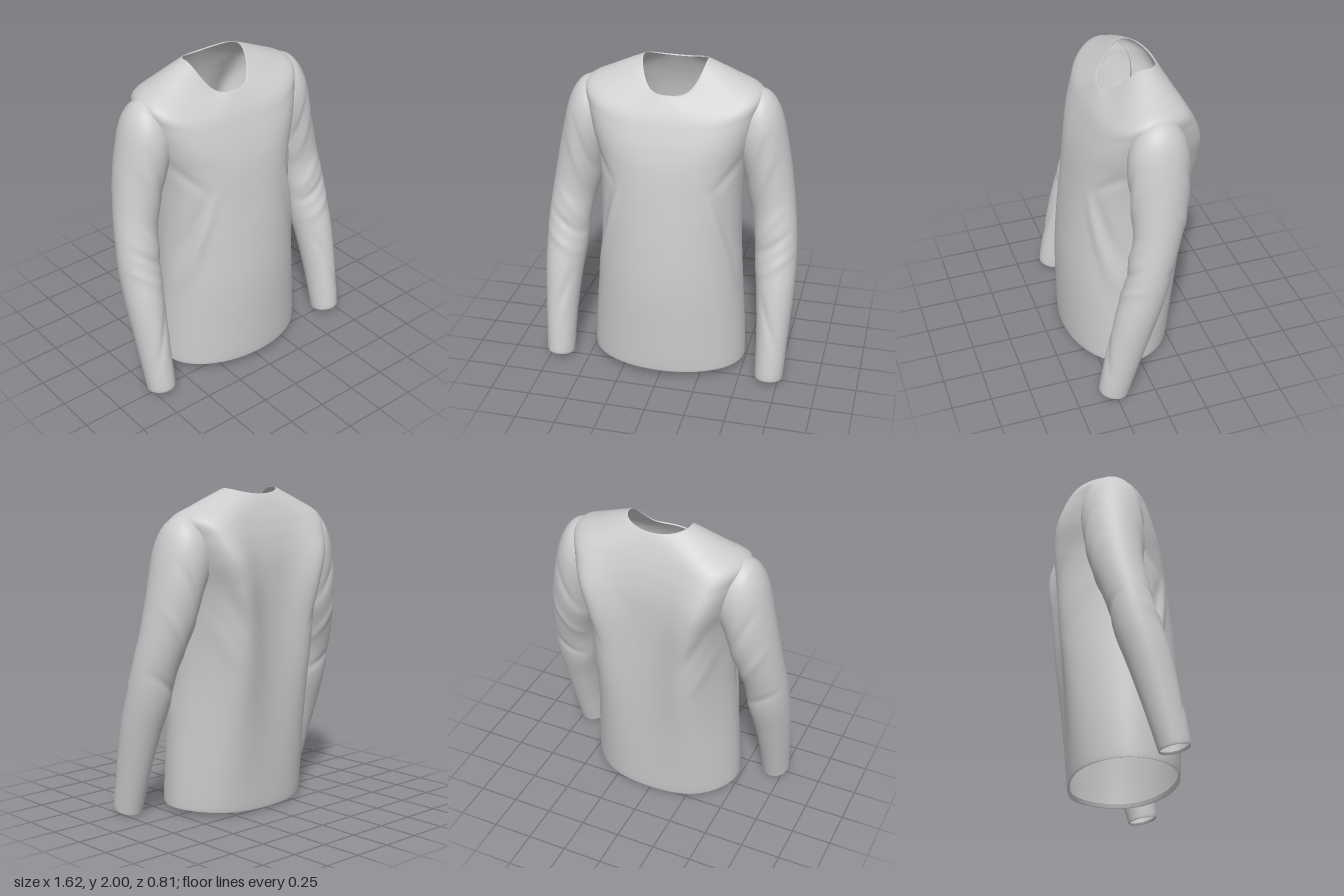
import * as THREE from 'three';

const material = new THREE.MeshStandardMaterial({ color: 0xcccccc, side: THREE.DoubleSide });

// Catmull-Rom blend of a table of section parameters, t in 0..1
function sample(rows, t) {
  const f = t * (rows.length - 1);
  const i = Math.min(Math.floor(f), rows.length - 2);
  const u = f - i;
  const at = k => rows[Math.max(0, Math.min(rows.length - 1, k))];
  const [a, b, c, d] = [at(i - 1), at(i), at(i + 1), at(i + 2)];
  return b.map((_, k) => b[k] + 0.5 * u * (c[k] - a[k]
    + u * (2 * a[k] - 5 * b[k] + 4 * c[k] - d[k] + u * (3 * (b[k] - c[k]) + d[k] - a[k]))));
}

// Cloth fold: a soft ridge (or groove) along a line in |x|, y, on one side of the garment
function foldHeight(x, y, nz, [ax, ay, bx, by, side, width, height]) {
  const dx = bx - ax, dy = by - ay, len2 = dx * dx + dy * dy;
  const t = ((x - ax) * dx + (y - ay) * dy) / len2;
  if (t <= 0 || t >= 1) return 0;
  const dist = ((x - ax) * dy - (y - ay) * dx) / Math.sqrt(len2);
  const facing = Math.max(0, nz * side);
  return height * Math.sin(Math.PI * t) * Math.exp(-((dist / width) ** 2)) * Math.min(1, facing * 2);
}

// Closed rings joined into a tube, then pushed along the normals by the folds
function loft(name, rows, point, nu, nv, flip, folds) {
  const pos = [], index = [];
  for (let j = 0; j <= nv; j++) {
    const row = sample(rows, j / nv);
    for (let i = 0; i < nu; i++) pos.push(...point(row, i / nu * Math.PI * 2));
  }
  for (let j = 0; j < nv; j++) {
    for (let i = 0; i < nu; i++) {
      const a = j * nu + i, b = j * nu + (i + 1) % nu, c = a + nu, d = b + nu;
      if (flip) index.push(a, b, c, b, d, c);
      else index.push(a, c, b, b, c, d);
    }
  }
  const geo = new THREE.BufferGeometry();
  geo.setAttribute('position', new THREE.Float32BufferAttribute(pos, 3));
  geo.setIndex(index);
  geo.computeVertexNormals();
  const p = geo.attributes.position, n = geo.attributes.normal;
  for (let i = 0; i < p.count; i++) {
    let h = 0;
    for (const f of folds) h += foldHeight(Math.abs(p.getX(i)), p.getY(i), n.getZ(i), f);
    p.setXYZ(i, p.getX(i) + n.getX(i) * h, p.getY(i) + n.getY(i) * h, p.getZ(i) + n.getZ(i) * h);
  }
  geo.computeVertexNormals();
  const mesh = new THREE.Mesh(geo, material);
  mesh.name = name;
  return mesh;
}

// Torso sections: half width, side y, side z, front y, front z, back y, back z,
// back groove, squareness (1 = round), scoop of the front edge
const torsoRows = [
  [0.485, 0.06, 0.05, 0.075, 0.375, 0.04, -0.265, 0.3, 1, 2],
  [0.497, 0.045, 0.05, 0.055, 0.39, 0.02, -0.28, 0.3, 1, 2],
  [0.49, 0.25, 0.04, 0.25, 0.397, 0.24, -0.295, 0.5, 1, 2],
  [0.465, 0.6, 0.03, 0.6, 0.398, 0.6, -0.315, 0.9, 0.97, 2],
  [0.445, 0.9, 0.01, 0.9, 0.375, 0.9, -0.33, 1.3, 0.92, 2],
  [0.443, 1.2, -0.01, 1.2, 0.337, 1.2, -0.34, 1.6, 0.85, 2],
  [0.46, 1.4, -0.03, 1.4, 0.305, 1.42, -0.345, 1.9, 0.75, 2],
  [0.5, 1.58, -0.05, 1.53, 0.27, 1.58, -0.342, 1.9, 0.66, 2],
  [0.535, 1.73, -0.06, 1.64, 0.23, 1.7, -0.325, 1.5, 0.66, 2],
  [0.54, 1.838, -0.075, 1.71, 0.2, 1.8, -0.298, 1, 0.7, 2.2],
  [0.39, 1.917, -0.09, 1.77, 0.165, 1.89, -0.262, 0.5, 0.8, 2.8],
  [0.215, 1.993, -0.1, 1.825, 0.125, 1.96, -0.225, 0, 0.9, 3.6],
  [0.2, 1.993, -0.1, 1.825, 0.11, 1.96, -0.212, 0, 0.9, 3.6],
];

function torsoPoint([w, ys, zs, yf, zf, yb, zb, groove, square, scoop], a) {
  const c = Math.cos(a), s = Math.sin(a);
  const front = s > 0;
  const side = Math.abs(c) ** (front ? scoop : 2);
  const depth = Math.abs(s) ** ((1 + square) / 2);
  const y = ys * side + (front ? yf : yb) * (1 - side);
  const z = front ? zs + (zf - zs) * depth
    : zs + (zb - zs) * depth * (1 + groove * c * c * s * s);
  return [w * Math.sign(c) * Math.abs(c) ** square, y, z];
}

// Sleeve sections: outer x, y, inner x, y, centre z, half depth, forward tilt
const sleeveRows = [
  [0.41, 1.885, 0.34, 1.48, -0.085, 0.13, 0],
  [0.52, 1.853, 0.39, 1.42, -0.08, 0.168, 0],
  [0.6, 1.81, 0.428, 1.36, -0.075, 0.187, 0],
  [0.665, 1.69, 0.452, 1.28, -0.07, 0.188, 0],
  [0.722, 1.45, 0.475, 1.17, -0.065, 0.172, 0],
  [0.768, 1.18, 0.51, 1.05, -0.035, 0.147, 0.01],
  [0.798, 0.95, 0.535, 0.91, 0.015, 0.133, 0.03],
  [0.808, 0.78, 0.548, 0.74, 0.055, 0.126, 0.05],
  [0.808, 0.58, 0.572, 0.55, 0.118, 0.12, 0.05],
  [0.795, 0.32, 0.592, 0.31, 0.187, 0.108, 0.04],
  [0.782, 0.08, 0.6, 0.08, 0.245, 0.096, 0.025],
  [0.776, 0.02, 0.604, 0.02, 0.257, 0.09, 0.02],
  [0.765, 0.03, 0.615, 0.03, 0.255, 0.08, 0.02],
];

const sleevePoint = side => ([ox, oy, ix, iy, zc, rz, tilt], a) => {
  const c = Math.cos(a), s = Math.sin(a);
  return [side * ((ox + ix) / 2 + c * (ox - ix) / 2),
    (oy + iy) / 2 + c * (oy - iy) / 2 + s * tilt, zc + s * rz];
};

// Folds: start x, y, end x, y, front (1) or back (-1), width, height
const torsoFolds = [
  [0.26, 1.3, 0.46, 0.55, 1, 0.025, 0.014],
  [0.31, 1.3, 0.48, 0.65, 1, 0.025, -0.012],
  [0.28, 1.25, 0.52, 1.52, 1, 0.03, -0.008],
  [0.25, 1.1, 0.46, 1.55, -1, 0.03, -0.008],
  [0.3, 0.9, 0.47, 1.4, -1, 0.03, 0.008],
];
const sleeveFolds = [
  [0.47, 1.2, 0.62, 1.65, 1, 0.025, -0.009],
  [0.52, 1.1, 0.66, 1.55, 1, 0.025, 0.008],
  [0.53, 0.8, 0.78, 1.0, 1, 0.022, -0.011],
  [0.53, 0.87, 0.72, 1.15, 1, 0.022, 0.008],
  [0.55, 0.68, 0.82, 0.88, 1, 0.024, 0.008],
  [0.6, 0.62, 0.77, 0.15, 1, 0.024, -0.008],
  [0.48, 1.2, 0.66, 1.6, -1, 0.025, -0.009],
  [0.53, 0.95, 0.74, 1.35, -1, 0.025, 0.008],
  [0.54, 0.75, 0.8, 0.95, -1, 0.025, -0.008],
];

export function createModel() {
  const shirt = new THREE.Group();
  shirt.name = 'longSleeveShirt';
  shirt.add(loft('torso', torsoRows, torsoPoint, 160, 144, false, torsoFolds));
  for (const side of [1, -1]) {
    shirt.add(loft(side > 0 ? 'leftSleeve' : 'rightSleeve',
      sleeveRows, sleevePoint(side), 64, 132, side > 0, sleeveFolds));
  }
  return shirt;
}
